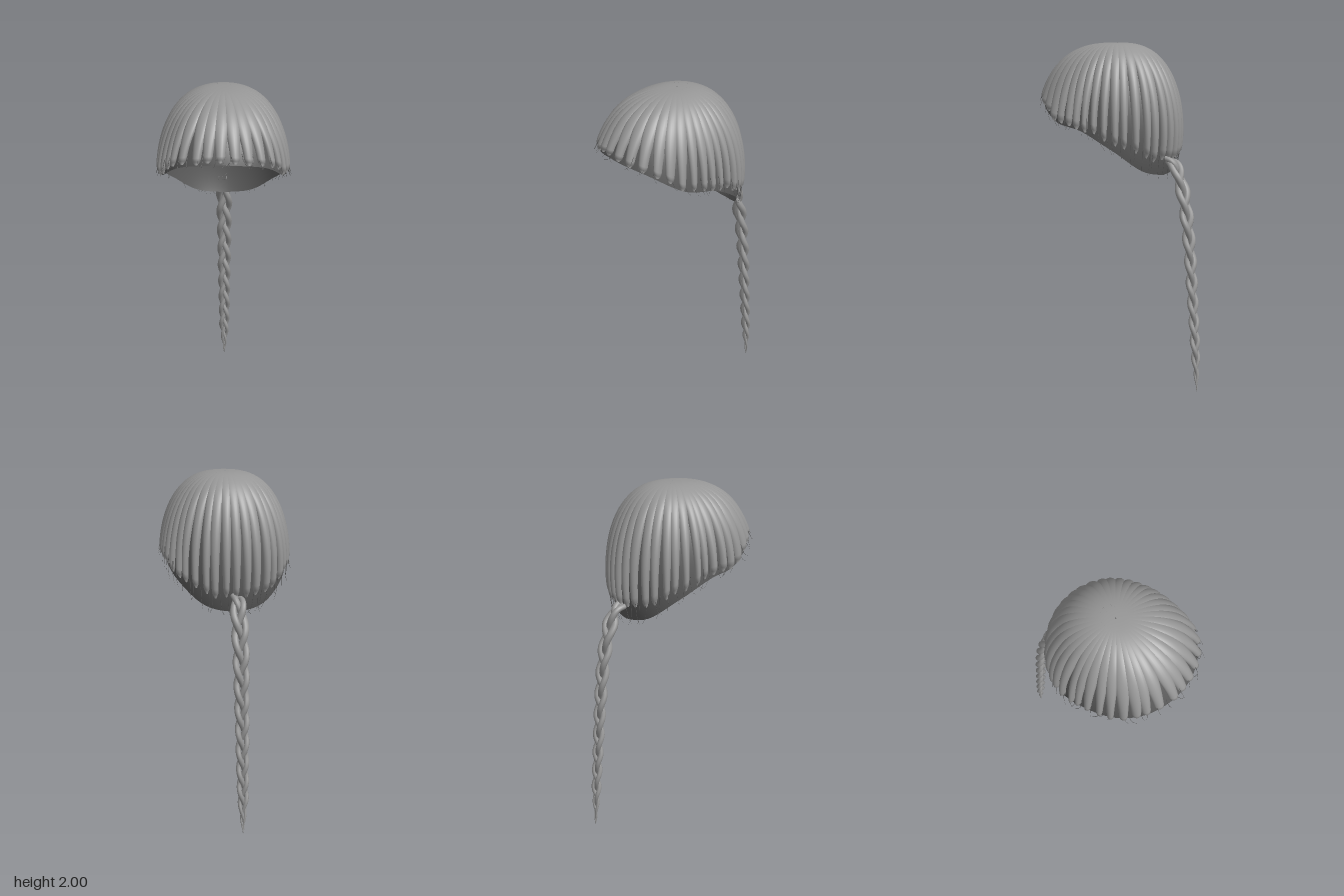
import * as THREE from 'three';
import { ParametricGeometry } from 'three/addons/geometries/ParametricGeometry.js';

const lockMat = new THREE.MeshStandardMaterial({ color: 0x969696 });
lockMat.name = 'hair grey';
const capMat = new THREE.MeshStandardMaterial({ color: 0x5c5c5c, side: THREE.DoubleSide });
capMat.name = 'scalp dark grey';

// Small seeded random
let seed = 7;
const rand = (lo, hi) => {
  seed = (seed * 16807) % 2147483647;
  return lo + (hi - lo) * (seed / 2147483647);
};

// Values every 30 degrees, from the forehead (0) round to the nape (180)
const spline = (vals) => new THREE.SplineCurve(vals.map((v, i) => new THREE.Vector2(i, v)));
const radiusCurve = spline([0.508, 0.48, 0.41, 0.377, 0.378, 0.386, 0.392]);
const rimCurve = spline([1.705, 1.665, 1.55, 1.505, 1.4, 1.275, 1.24]);
const around = (curve, a) => curve.getPoint(Math.abs(Math.atan2(Math.sin(a), Math.cos(a))) / Math.PI).y;

const CX = 0.012, CZ = 0.04, MID = 1.5;

// Point on the head dome: a = angle, t = 0 crown to 1 rim, lift = offset outwards
function dome(a, t, lift, out) {
  const phi = t * Math.acos((around(rimCurve, a) - MID) / 0.5);
  const r = (around(radiusCurve, a) + lift) * Math.pow(Math.sin(phi), 0.74);
  return out.set(CX + Math.sin(a) * r, MID + (0.5 + lift * 0.6) * Math.cos(phi), CZ + Math.cos(a) * r);
}

function addMesh(group, geometry, material, name) {
  const mesh = new THREE.Mesh(geometry, material);
  mesh.name = name;
  group.add(mesh);
  return mesh;
}

// Tube whose radius is scaled along its length
function taperedTube(points, segments, radius, sides, scale) {
  const path = new THREE.CatmullRomCurve3(points);
  const geo = new THREE.TubeGeometry(path, segments, radius, sides);
  const pos = geo.attributes.position, v = new THREE.Vector3();
  for (let i = 0; i <= segments; i++) {
    const p = path.getPointAt(i / segments), s = scale(i / segments);
    for (let j = 0; j <= sides; j++) {
      const k = i * (sides + 1) + j;
      v.fromBufferAttribute(pos, k).sub(p).multiplyScalar(s).add(p);
      pos.setXYZ(k, v.x, v.y, v.z);
    }
  }
  return geo;
}

// One long lock: flat at the crown, swelling to a half-round section at the rim
function lockGeometry(a0, width, endT) {
  const tmp = new THREE.Vector3();
  return new ParametricGeometry((u, v, out) => {
    const t = 0.001 + (endT - 0.001) * v;
    dome(a0, t, 0, tmp);
    const r = Math.hypot(tmp.x - CX, tmp.z - CZ);
    const taper = 1 - 0.4 * THREE.MathUtils.smoothstep(t, 0.5, 1);
    const tip = Math.sqrt(Math.max(0.1, Math.min(1, (1 - v) / 0.04)));
    const half = Math.min(0.12, (width * taper) / r) * tip;
    const round = THREE.MathUtils.smoothstep(t, 0.05, 0.6);
    const lift = THREE.MathUtils.lerp(0, -0.0245 + 0.026 * Math.sin(Math.PI * u) * tip, round);
    dome(a0 + half * Math.cos(Math.PI * u), t, lift, out);
  }, 10, 30);
}

export function createModel() {
  const model = new THREE.Group();
  model.name = 'braidedHair';

  // Scalp cap, open underneath
  const scalp = new ParametricGeometry((u, v, out) => {
    dome(-2 * Math.PI * u, 0.0005 + 0.9995 * v, -0.026, out);
  }, 72, 30);
  addMesh(model, scalp, capMat, 'scalpCap');

  // Locks radiating from the crown, ending sooner at the nape
  const locks = new THREE.Group();
  locks.name = 'locks';
  model.add(locks);
  const count = 38;
  for (let i = 0; i < count; i++) {
    const a = ((i + rand(-0.15, 0.15)) / count) * Math.PI * 2;
    const front = Math.max(0, Math.cos(a)), back = Math.max(0, -Math.cos(a));
    const lock = lockGeometry(a, rand(0.027, 0.033) + 0.012 * front, rand(0.97, 1) - 0.08 * back);
    addMesh(locks, lock, lockMat, 'lock');
  }

  // Fine stray hairs curling off the rim
  const strays = new THREE.Group();
  strays.name = 'strayHairs';
  model.add(strays);
  for (let i = 0; i < 56; i++) {
    const a = ((i + rand(-0.4, 0.4)) / 56) * Math.PI * 2;
    const drift = rand(-0.12, 0.12), flare = rand(0, 0.02);
    const pts = [0.88, 0.95, 0.99, 1.015].map((t, k) =>
      dome(a + drift * k * k / 9, t, -0.01 + flare * k / 3, new THREE.Vector3()));
    addMesh(strays, taperedTube(pts, 8, 0.002, 4, (t) => 1 - 0.7 * t), capMat, 'strayHair');
  }

  // Three-strand braid hanging from the nape
  const braid = new THREE.Group();
  braid.name = 'braid';
  model.add(braid);
  const spine = new THREE.CatmullRomCurve3([
    [1.34, -0.3], [1.315, -0.355], [1.22, -0.4], [1.05, -0.44], [0.8, -0.47],
    [0.55, -0.49], [0.25, -0.512], [0, -0.525],
  ].map(([y, z]) => new THREE.Vector3(CX, y, z)));
  const thickness = (t) => (0.7 + 0.3 * Math.min(1, t / 0.1)) * (1 - 0.45 * t)
    * Math.min(1, 0.04 + Math.pow((1 - t) / 0.16, 0.75));
  const steps = 90;
  for (let s = 0; s < 3; s++) {
    const pts = [];
    for (let i = 0; i <= steps; i++) {
      const t = i / steps, w = thickness(t);
      const p = spine.getPointAt(t), d = spine.getTangentAt(t);
      const turn = Math.PI * 2 * (2.9 * t + 0.9 * t * t + s / 3);
      const x = 0.034 * w * Math.sin(turn), depth = 0.013 * w * Math.sin(2 * turn);
      // depth runs across the spine in its own plane
      pts.push(new THREE.Vector3(p.x + x, p.y + d.z * depth, p.z - d.y * depth));
    }
    addMesh(braid, taperedTube(pts, 150, 0.0215, 10, thickness), lockMat, 'braidStrand');
  }

  return model;
}
